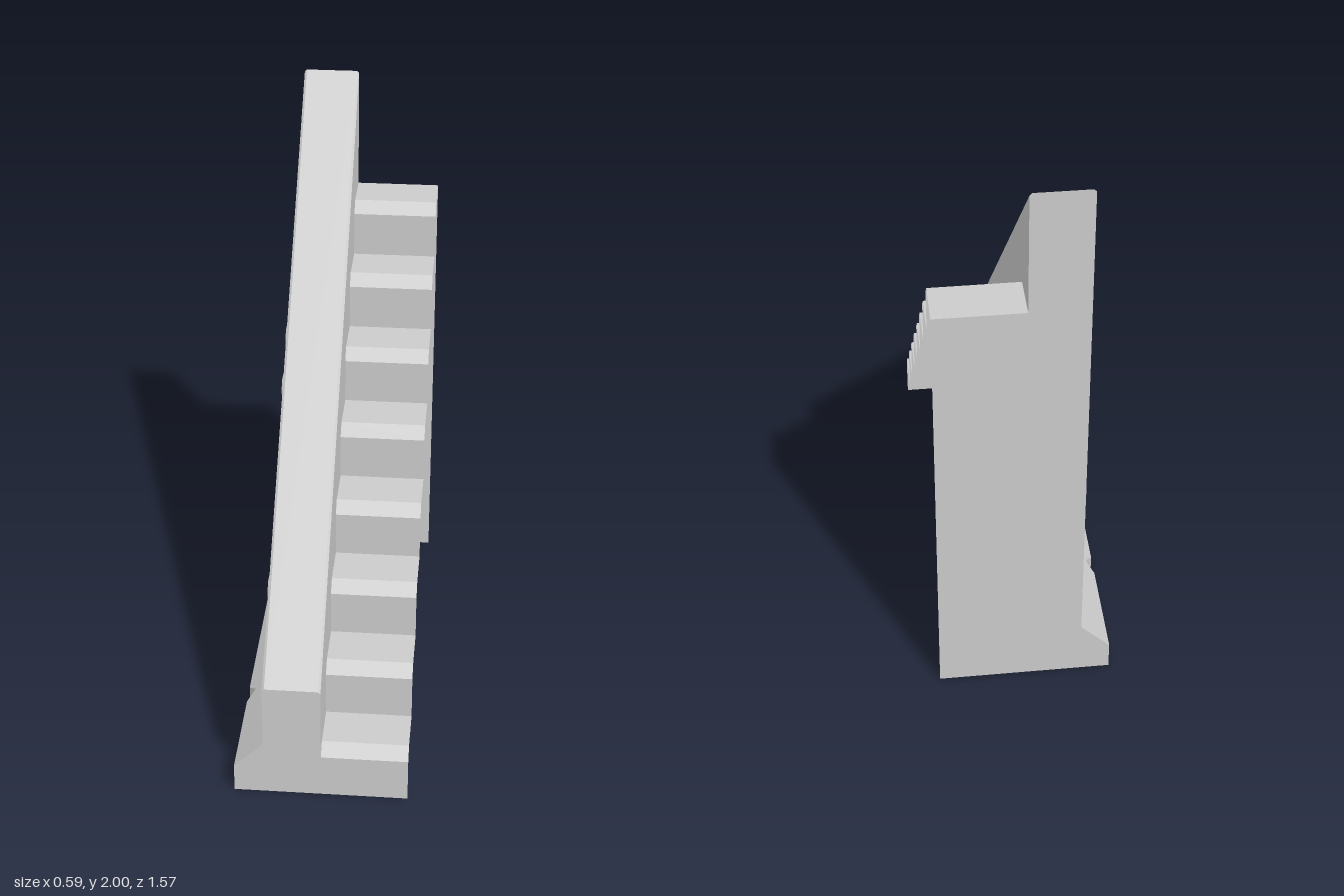
import * as THREE from 'three';

const mat = new THREE.MeshStandardMaterial({ color: 0xcccccc, side: THREE.DoubleSide });

const Z = 0.785;                      // half length
const XR = 0.293, XW = -0.195, XB = -0.295; // stair edge, wall outer face, plinth face
const WALL_FRONT = 0.43, WALL_BACK = 2;
const BASE = 0.1, BASE_TOP = 0.2, BEVEL = 0.008;
const STEPS = 8, RISE = (2 * Z) / STEPS, NOSE = 0.039;

function add(parent, name, geometry) {
  const mesh = new THREE.Mesh(geometry, mat);
  mesh.name = name;
  parent.add(mesh);
  return mesh;
}

// Flat polygon in the XY plane
function panel(points) {
  return new THREE.ShapeGeometry(new THREE.Shape(points.map(p => new THREE.Vector2(...p))));
}

// Ribbon of quads between two paths of equal length
function strip(a, b, smooth = false) {
  const index = [], n = a.length;
  for (let i = 0; i < n - 1; i++) index.push(i, n + i, i + 1, n + i, n + i + 1, i + 1);
  let g = new THREE.BufferGeometry();
  g.setAttribute('position', new THREE.Float32BufferAttribute([...a, ...b].flat(), 3));
  g.setIndex(index);
  if (!smooth) g = g.toNonIndexed();
  g.computeVertexNormals();
  return g;
}

// Outline of an end face for a given stair and wall height
function endProfile(stairY, wallY) {
  return [[XB, 0], [XR, 0], [XR, stairY], [0, stairY], [0, wallY - BEVEL], [-BEVEL, wallY],
    [XW + BEVEL, wallY], [XW, wallY - BEVEL], [XW, BASE_TOP], [XB, BASE]];
}

// Raised stone with cut corners and sloping sides, on the outer wall face
function makeStone(z, y) {
  const stone = new THREE.Group();
  stone.name = 'wallStone';
  const ring = (w, h, c) => [[-w, h - c], [-w + c, h], [w - c, h], [w, h - c],
    [w, -h + c], [w - c, -h], [-w + c, -h], [-w, -h + c]];
  const base = ring(0.115, 0.059, 0.03), top = ring(0.098, 0.041, 0.024);
  const at = (r, x) => [...r, r[0]].map(([u, v]) => [x, v, u]);
  add(stone, 'stoneSides', strip(at(base, 0), at(top, -0.033), true));
  add(stone, 'stoneFace', panel(top).rotateY(-Math.PI / 2).translate(-0.033, 0, 0));
  stone.position.set(XW, y, z);
  return stone;
}

export function createModel() {
  const model = new THREE.Group();
  model.name = 'staircaseWithWall';

  // End faces
  add(model, 'frontEnd', panel(endProfile(RISE - NOSE, WALL_FRONT)).translate(0, 0, Z));
  add(model, 'backEnd', panel(endProfile(2 * Z, WALL_BACK).map(([x, y]) => [-x, y]))
    .rotateY(Math.PI).translate(0, 0, -Z));

  // Wall faces; the inner one stops at the line of the stairs
  const f = WALL_FRONT - BEVEL, b = WALL_BACK - BEVEL;
  add(model, 'wallOuterFace', panel([[-Z, BASE_TOP], [Z, BASE_TOP], [Z, f], [-Z, b]])
    .rotateY(-Math.PI / 2).translate(XW, 0, 0));
  add(model, 'wallInnerFace', panel([[-Z, 0], [Z, 2 * Z], [Z, b], [-Z, f]]).rotateY(Math.PI / 2));

  // Sloping wall cap with bevelled edges
  const cap = [[XW, -BEVEL], [XW + BEVEL, 0], [-BEVEL, 0], [0, -BEVEL]];
  add(model, 'wallCap', strip(cap.map(([x, d]) => [x, WALL_BACK + d, -Z]),
    cap.map(([x, d]) => [x, WALL_FRONT + d, Z])));

  // Steps with chamfered nosings, open at the side
  const steps = [];
  for (let i = 0; i < STEPS; i++) {
    const z = Z - i * RISE, y = i * RISE;
    steps.push([y, z], [y + RISE - NOSE, z], [y + RISE, z - NOSE]);
  }
  steps.push([2 * Z, -Z]);
  add(model, 'steps', strip(steps.map(p => [0, ...p]), steps.map(p => [XR, ...p])));

  // Plinth with two V grooves
  const plan = [[Z, 0]];
  for (const c of [0.395, -0.395]) plan.push([c + 0.04, 0], [c, 0.027], [c - 0.04, 0]);
  plan.push([-Z, 0]);
  const foot = plan.map(([z, d]) => [XB + d, 0, z]);
  const edge = plan.map(([z, d]) => [XB + d, BASE + d, z]);
  const top = plan.map(([z]) => [XW, BASE_TOP, z]);
  add(model, 'plinthSide', strip(foot, edge));
  add(model, 'plinthSlope', strip(edge, top));

  // Scattered raised stones
  const stones = [[-0.435, 1.13], [-0.295, 1.003], [-0.255, 0.657], [-0.498, 0.657],
    [-0.398, 0.532], [0.22, 0.483], [0.07, 0.35]];
  for (const [z, y] of stones) model.add(makeStone(z, y));

  return model;
}
